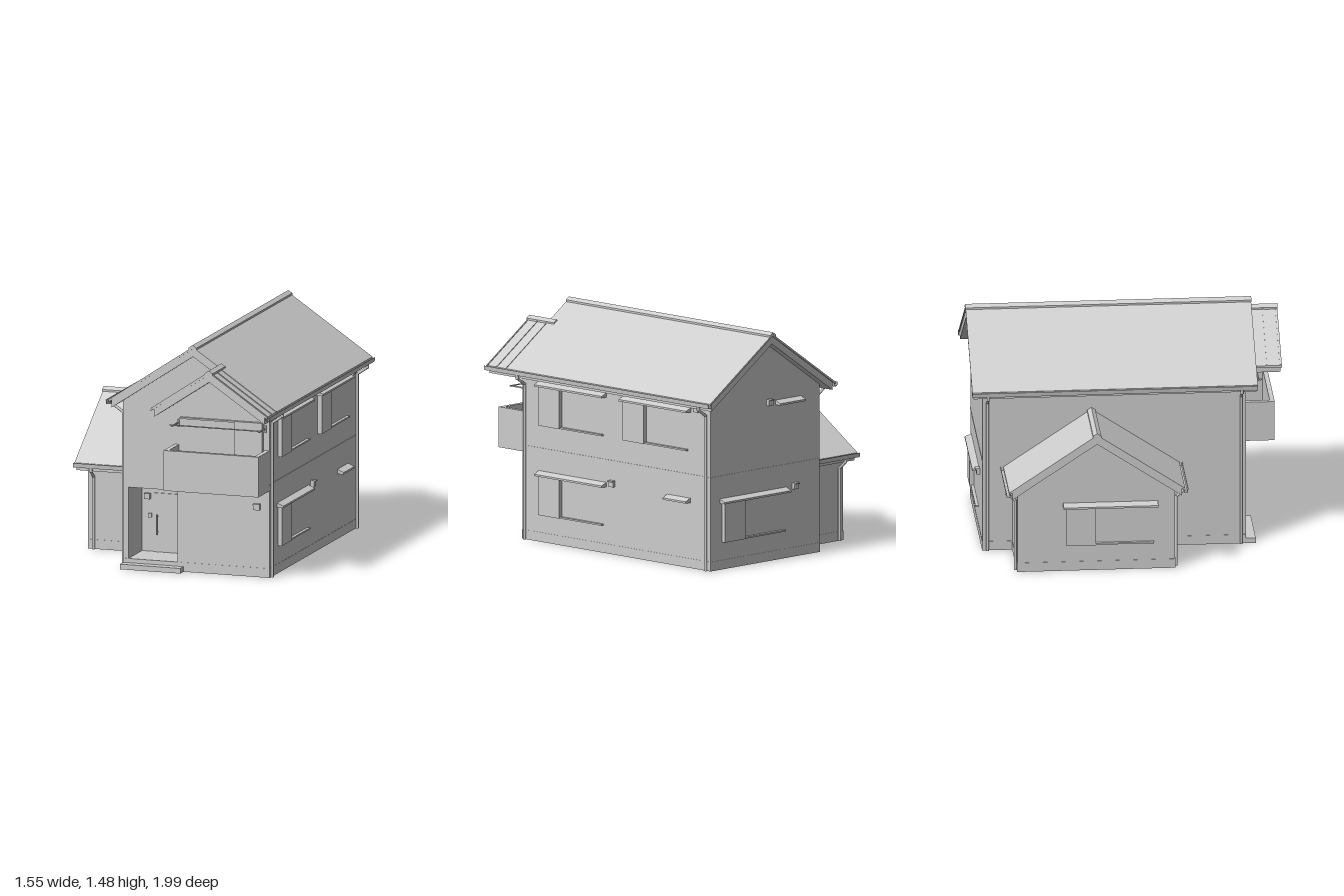
import * as THREE from 'three';

const grey = new THREE.MeshStandardMaterial({ color: 0xcccccc });
grey.name = 'light grey';
const SLOPE = 0.67;

function add(parent, name, geometry) {
  const mesh = new THREE.Mesh(geometry, grey);
  mesh.name = name;
  parent.add(mesh);
  return mesh;
}

// Box given by its limits on each axis
function box(parent, name, x0, x1, y0, y1, z0, z1) {
  const mesh = add(parent, name, new THREE.BoxGeometry(x1 - x0, y1 - y0, z1 - z0));
  mesh.position.set((x0 + x1) / 2, (y0 + y1) / 2, (z0 + z1) / 2);
  return mesh;
}

const shapeOf = (pts) => new THREE.Shape(pts.map(([x, y]) => new THREE.Vector2(x, y)));

// Shape pushed along z between two limits
function prism(parent, name, shape, z0, z1) {
  const mesh = add(parent, name, new THREE.ExtrudeGeometry(shape, { depth: z1 - z0, bevelEnabled: false }));
  mesh.position.z = z0;
  return mesh;
}

// Round rod between two points
function rod(parent, name, a, b, r) {
  const p = new THREE.Vector3(...a), q = new THREE.Vector3(...b);
  const d = q.clone().sub(p);
  const mesh = add(parent, name, new THREE.CylinderGeometry(r, r, d.length(), 10));
  mesh.position.copy(p).add(q).multiplyScalar(0.5);
  mesh.quaternion.setFromUnitVectors(new THREE.Vector3(0, 1, 0), d.normalize());
}

// Pentagon wall outline with its ridge at x = cx
const gableWall = (cx, half, peak) => shapeOf([
  [cx - half, 0], [cx + half, 0], [cx + half, peak - SLOPE * half], [cx, peak], [cx - half, peak - SLOPE * half],
]);

// Folded band following both roof slopes
const chevron = (cx, half, peak, t) => shapeOf([
  [cx - half, peak - SLOPE * half - t], [cx, peak - t], [cx + half, peak - SLOPE * half - t],
  [cx + half, peak - SLOPE * half], [cx, peak], [cx - half, peak - SLOPE * half],
]);

// Gable roof: thin covering, thicker slab below, ridge cap
function gableRoof(parent, cx, half, peak, z0, z1) {
  prism(parent, 'roofCovering', chevron(cx, half, peak, 0.014), z0, z1);
  prism(parent, 'roofSlab', chevron(cx, half - 0.02, peak - 0.014, 0.05), z0 + 0.008, z1 - 0.008);
  prism(parent, 'ridgeCap', chevron(cx, 0.026, peak + 0.012, 0.014), z0 - 0.002, z1 + 0.002);
}

// U-shaped gutter running along z
function gutter(parent, x, y, z0, z1) {
  prism(parent, 'gutter', shapeOf([
    [x - 0.016, y + 0.028], [x - 0.012, y], [x + 0.012, y], [x + 0.016, y + 0.028],
    [x + 0.012, y + 0.028], [x + 0.009, y + 0.004], [x - 0.009, y + 0.004], [x - 0.012, y + 0.028],
  ]), z0, z1);
}

// Downpipe with a slanted neck up to the gutter
function downpipe(parent, xWall, xGutter, yTop, z) {
  rod(parent, 'downpipe', [xWall, 0, z], [xWall, yTop - 0.06, z], 0.009);
  rod(parent, 'pipeNeck', [xWall, yTop - 0.065, z], [xGutter, yTop - 0.02, z], 0.009);
  rod(parent, 'pipeOutlet', [xGutter, yTop - 0.025, z], [xGutter, yTop + 0.005, z], 0.011);
}

// Sloped hood on a wall facing +z
function hood(parent, x0, x1, y) {
  const mesh = prism(parent, 'windowHood', shapeOf([[0, 0], [0.042, 0], [0.042, 0.012], [0, 0.03]]), 0, x1 - x0);
  mesh.rotation.y = -Math.PI / 2;
  mesh.position.set(x1, y, 0);
}

// Window with shutter box, hood and sill
function shutterWindow(parent, x, y) {
  hood(parent, x, x + 0.6, y + 0.25);
  box(parent, 'shutterBox', x + 0.02, x + 0.205, y, y + 0.25, -0.005, 0.027);
  box(parent, 'windowSill', x + 0.205, x + 0.575, y, y + 0.01, -0.005, 0.02);
}

function vent(parent, x, y) {
  box(parent, 'vent', x - 0.021, x + 0.021, y - 0.02, y + 0.012, -0.005, 0.022);
  box(parent, 'ventCap', x - 0.021, x + 0.021, y + 0.012, y + 0.02, -0.005, 0.03);
}

// Group whose local z = 0 plane lies on a wall
function wallFace(parent, name, x, z, turn) {
  const g = new THREE.Group();
  g.name = name;
  g.position.set(x, 0, z);
  g.rotation.y = turn;
  parent.add(g);
  return g;
}

export function createModel() {
  const house = new THREE.Group();
  house.name = 'house';
  const group = (name) => {
    const g = new THREE.Group();
    g.name = name;
    house.add(g);
    return g;
  };

  // Main walls, with the porch cut into the front part
  const CX = 0.195, L = -0.295, R = 0.685, F = 0.75, B = -0.92;
  const body = group('mainBody');
  prism(body, 'mainWalls', gableWall(CX, 0.49, 1.41), B, 0.49);
  const front = gableWall(CX, 0.49, 1.41);
  front.holes.push(new THREE.Path([[-0.26, 0.06], [-0.26, 0.52], [0.07, 0.52], [0.07, 0.06]]
    .map(([x, y]) => new THREE.Vector2(x, y))));
  prism(body, 'frontWalls', front, 0.49, F);
  box(body, 'foundation', L - 0.002, R + 0.002, 0, 0.06, B - 0.002, F + 0.002);
  box(body, 'beltRight', R - 0.01, R + 0.003, 0.597, 0.603, B, F);
  box(body, 'beltBack', L, R, 0.597, 0.603, B - 0.003, B + 0.01);

  // Main roof, gutters and downpipes
  const roof = group('mainRoof');
  gableRoof(roof, CX, 0.565, 1.47, -0.99, 0.82);
  gutter(roof, -0.372, 1.062, -0.99, 0.82);
  gutter(roof, 0.762, 1.062, -0.99, 1.0);
  for (const z of [0.72, -0.888]) {
    downpipe(roof, L - 0.01, -0.372, 1.062, z);
    downpipe(roof, R + 0.01, 0.762, 1.062, z);
  }

  // Small gable roof over the balcony
  const small = group('balconyRoof');
  gableRoof(small, 0.367, 0.39, 1.352, 0.76, 1.0);
  for (const z of [0.826, 0.908, 0.99]) {
    prism(small, 'roofSeam', chevron(0.367, 0.39, 1.357, 0.008), z - 0.004, z + 0.004);
  }

  // Side wing, built along z and turned to point left
  const wing = wallFace(house, 'wing', 0, -0.23, -Math.PI / 2);
  prism(wing, 'wingWalls', gableWall(0, 0.5, 0.875), 0.28, 0.7);
  box(wing, 'wingFoundation', -0.502, 0.502, 0, 0.06, 0.28, 0.702);
  gableRoof(wing, 0, 0.558, 0.933, 0.29, 0.772);
  for (const s of [-1, 1]) {
    gutter(wing, s * 0.562, 0.532, 0.29, 0.776);
    downpipe(wing, s * 0.51, s * 0.562, 0.532, 0.66);
  }
  shutterWindow(wallFace(house, 'wingWindow', -0.7, 0, -Math.PI / 2), -0.44, 0.175);

  // Right wall
  const right = wallFace(house, 'rightWallDetails', R, 0, Math.PI / 2);
  shutterWindow(right, -0.605, 0.175);
  shutterWindow(right, -0.605, 0.75);
  shutterWindow(right, 0.145, 0.75);
  hood(right, 0.535, 0.74, 0.418);
  vent(right, 0.053, 0.455);
  vent(right, 0.805, 1.03);

  // Back wall
  const back = wallFace(house, 'backWallDetails', 0, B, Math.PI);
  shutterWindow(back, -0.6, 0.175);
  vent(back, 0.07, 0.455);
  hood(back, -0.1, 0.13, 0.995);
  vent(back, -0.16, 1.02);

  // Porch with door and step
  const porch = group('porch');
  box(porch, 'step', -0.295, 0.11, 0, 0.033, 0.7, 0.813);
  box(porch, 'door', -0.175, 0.025, 0.06, 0.44, 0.485, 0.498);
  rod(porch, 'doorHandle', [-0.152, 0.175, 0.52], [-0.152, 0.305, 0.52], 0.004);
  for (const y of [0.19, 0.29]) rod(porch, 'handleMount', [-0.152, y, 0.49], [-0.152, y, 0.52], 0.003);
  box(porch, 'porchLamp', -0.238, -0.2, 0.4, 0.436, 0.485, 0.52);
  box(porch, 'doorPhone', -0.216, -0.195, 0.28, 0.305, 0.485, 0.502);
  vent(wallFace(house, 'frontVent', 0, F, 0), 0.605, 0.455);

  // Balcony: floor and parapet
  const balcony = group('balcony');
  box(balcony, 'balconyFloor', 0.05, R, 0.56, 0.6, F - 0.01, 0.96);
  box(balcony, 'parapetFront', 0.05, R, 0.56, 0.82, 0.93, 0.96);
  box(balcony, 'parapetLeft', R - 0.03, R, 0.56, 0.82, F - 0.01, 0.96);
  box(balcony, 'parapetRight', 0.05, 0.08, 0.56, 0.82, F - 0.01, 0.96);

  // Balcony door with shutter box, and the drying pole
  box(balcony, 'balconyShutterBox', 0.46, 0.645, 0.6, 1.0, F - 0.01, 0.778);
  box(balcony, 'balconyDoorHead', 0.09, 0.46, 0.99, 1.0, F - 0.01, 0.77);
  rod(balcony, 'dryingPole', [0.055, 0.966, 0.86], [0.685, 0.966, 0.86], 0.004);
  for (const x of [0.076, 0.66]) {
    box(balcony, 'poleArm', x - 0.004, x + 0.004, 0.958, 0.966, F - 0.01, 0.88);
    box(balcony, 'poleMount', x - 0.005, x + 0.005, 0.935, 0.982, F - 0.01, 0.76);
  }
  return house;
}
